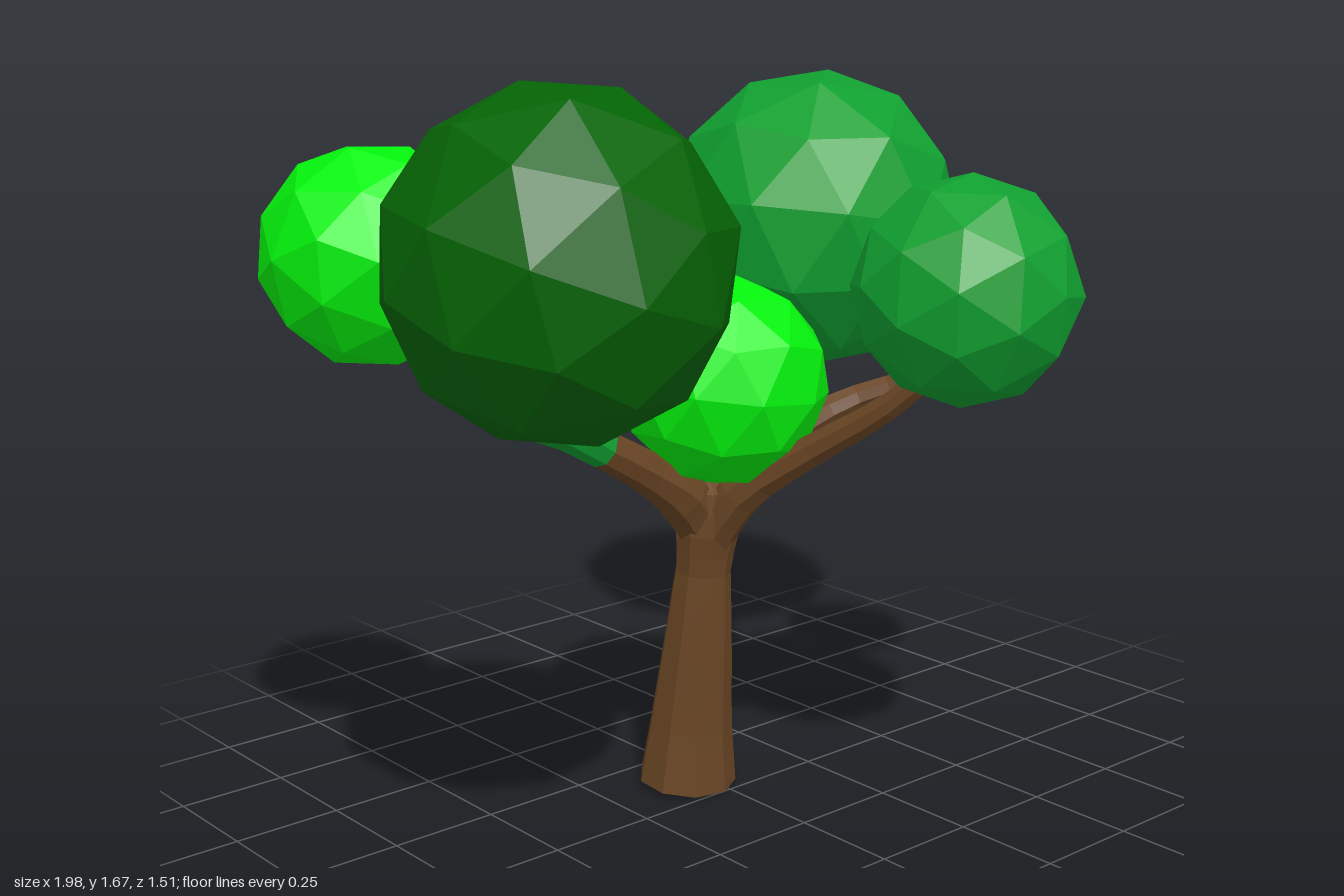
import * as THREE from 'three';

const mat = (color) => new THREE.MeshStandardMaterial({ color, flatShading: true });

// Tapered limb: points are [x, y, z, radius]
function limb(name, points, material, sides = 8, steps = 10) {
  const curve = new THREE.CatmullRomCurve3(points.map(([x, y, z]) => new THREE.Vector3(x, y, z)));
  const geo = new THREE.TubeGeometry(curve, steps, 1, sides, false);
  const pos = geo.attributes.position;
  const v = new THREE.Vector3();
  for (let i = 0; i <= steps; i++) {
    const u = i / steps;
    const c = curve.getPointAt(u);
    const t = curve.getUtoTmapping(u) * (points.length - 1);
    const k = Math.min(Math.floor(t), points.length - 2);
    const r = THREE.MathUtils.lerp(points[k][3], points[k + 1][3], t - k);
    for (let j = 0; j <= sides; j++) {
      const n = i * (sides + 1) + j;
      v.fromBufferAttribute(pos, n).sub(c).multiplyScalar(r).add(c);
      pos.setXYZ(n, v.x, v.y, v.z);
    }
  }
  geo.computeVertexNormals();
  const mesh = new THREE.Mesh(geo, material);
  mesh.name = name;
  return mesh;
}

export function createModel() {
  const tree = new THREE.Group();
  tree.name = 'tree';
  const bark = mat(0x694524);
  const dark = mat(0x056405);
  const medium = mat(0x10a030);
  const bright = mat(0x04f20c);

  // Trunk, flared at the foot and at the fork
  tree.add(limb('trunk', [
    [-0.04, 0.013, -0.108, 0.114], [-0.037, 0.15, -0.098, 0.097], [-0.033, 0.35, -0.078, 0.08],
    [-0.03, 0.54, -0.06, 0.063], [-0.025, 0.64, -0.052, 0.076], [-0.02, 0.72, -0.055, 0.075], [-0.02, 0.765, -0.06, 0.01],
  ], bark, 9, 16));
  const foot = new THREE.Mesh(new THREE.CircleGeometry(0.114, 9), bark);
  foot.name = 'trunkFoot';
  foot.position.set(-0.04, 0.013, -0.108);
  foot.rotation.x = Math.PI / 2 + 0.08;
  tree.add(foot);

  // Branches, each starting inside the trunk or its parent branch
  const branches = [
    ['rightBranch', bark, [[-0.03, 0.62, -0.06, 0.055], [-0.1, 0.72, -0.055, 0.065], [-0.2, 0.79, -0.05, 0.047], [-0.33, 0.868, -0.05, 0.042]]],
    ['mossyBranch', medium, [[-0.32, 0.862, -0.05, 0.043], [-0.41, 0.92, -0.05, 0.048], [-0.48, 0.965, -0.05, 0.062], [-0.54, 1.01, -0.05, 0.03]]],
    ['rightFrontTwig', medium, [[-0.45, 0.95, -0.05, 0.045], [-0.52, 1.0, 0.0, 0.048], [-0.59, 1.1, 0.1, 0.035]]],
    ['rightBackFork', medium, [[-0.45, 0.95, -0.05, 0.045], [-0.51, 1.0, -0.09, 0.044], [-0.545, 1.03, -0.13, 0.038]]],
    ['rightBackTwig', bark, [[-0.54, 1.025, -0.125, 0.038], [-0.59, 1.08, -0.18, 0.032], [-0.64, 1.14, -0.24, 0.025]]],
    ['frontBranch', bark, [[-0.03, 0.6, -0.04, 0.05], [0.0, 0.72, 0.03, 0.053], [0.07, 0.84, 0.19, 0.037], [0.13, 0.95, 0.35, 0.031], [0.17, 1.05, 0.46, 0.024]]],
    ['leftBranch', bark, [[-0.04, 0.64, -0.07, 0.055], [0.06, 0.705, -0.085, 0.058], [0.18, 0.745, -0.11, 0.044], [0.32, 0.79, -0.13, 0.044], [0.46, 0.845, -0.09, 0.034], [0.56, 0.9, 0.01, 0.028], [0.61, 0.97, 0.09, 0.022]]],
    ['leftBackTwig', bark, [[0.24, 0.765, -0.12, 0.042], [0.36, 0.815, -0.16, 0.042], [0.46, 0.88, -0.26, 0.036], [0.53, 0.97, -0.34, 0.028]]],
  ];
  for (const [name, material, points] of branches) tree.add(limb(name, points, material));

  // Faceted leaf clumps: name, material, centre, radius, rotation
  const clumps = [
    ['darkFoliage', dark, [-0.662, 1.333, 0.262], 0.35, [0.3, 0.4, 0.2]],
    ['largeFoliage', medium, [0.62, 1.24, -0.388], 0.372, [0.1, 0.7, 0.3]],
    ['frontFoliage', medium, [0.203, 1.218, 0.508], 0.244, [0.5, 0.2, 0.1]],
    ['centreFoliage', bright, [-0.003, 0.972, -0.02], 0.237, [0.2, 0.9, 0.4]],
    ['backFoliage', bright, [-0.708, 1.29, -0.32], 0.237, [0.6, 0.3, 0.5]],
    ['smallFoliage', bright, [0.634, 1.087, 0.162], 0.165, [0.4, 0.6, 0.1]],
  ];
  for (const [name, material, centre, radius, rotation] of clumps) {
    const mesh = new THREE.Mesh(new THREE.IcosahedronGeometry(radius, 1), material);
    mesh.name = name;
    mesh.position.set(...centre);
    mesh.rotation.set(...rotation);
    tree.add(mesh);
  }
  return tree;
}
